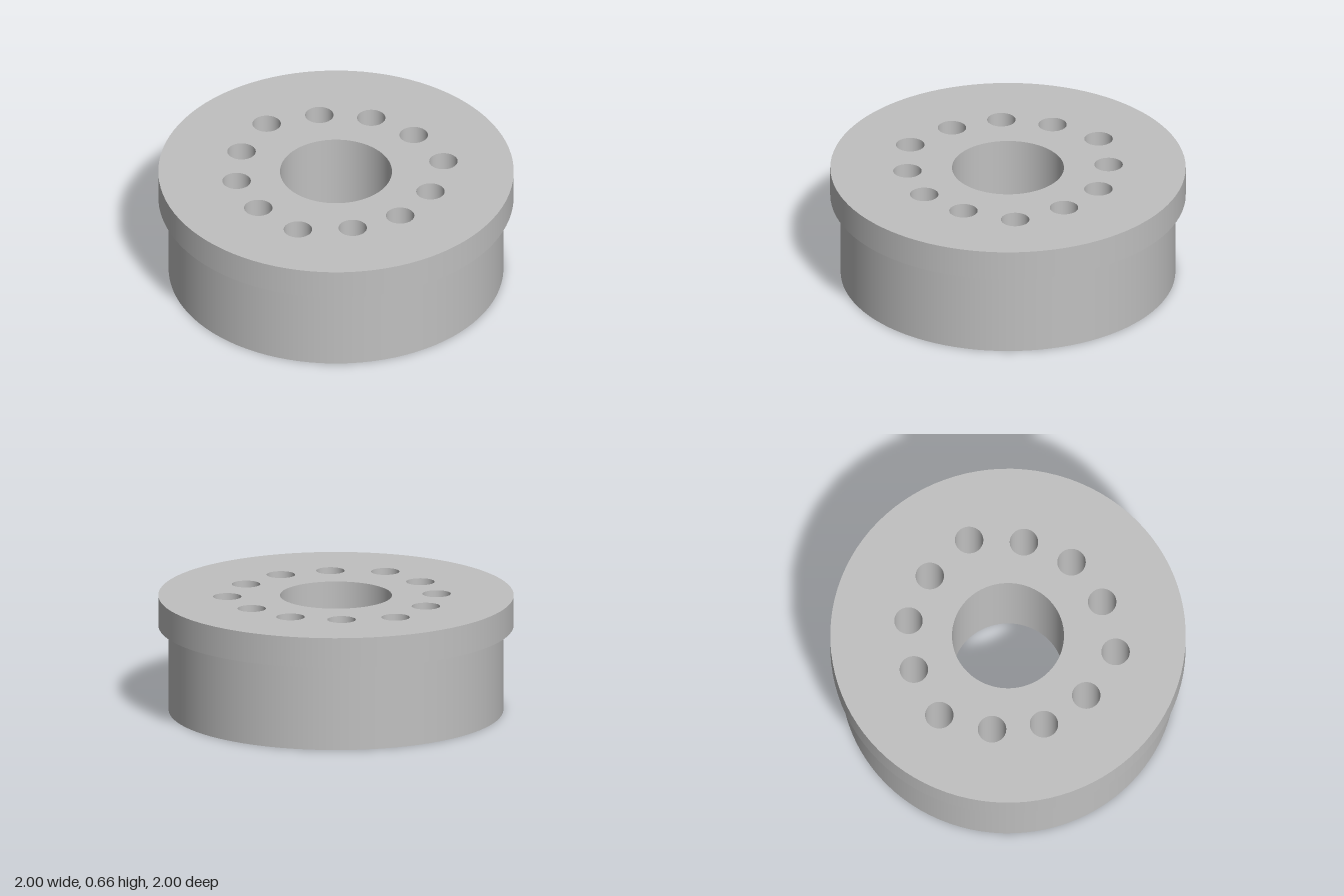
import * as THREE from 'three';

const SEGMENTS = 96;
const HEIGHT = 0.663, STEP = 0.49;
const BODY_R = 0.942, FLANGE_R = 1, BORE_R = 0.315, BOLT_R = 0.08;

// Twelve bolt holes, every fourth one set slightly further out
const boltHoles = Array.from({ length: 12 }, (_, i) => {
  const angle = (i * Math.PI) / 6;
  const r = i % 4 === 0 ? 0.613 : 0.567;
  return { x: Math.sin(angle) * r, z: Math.cos(angle) * r };
});

export function createModel() {
  const group = new THREE.Group();
  const metal = new THREE.MeshStandardMaterial({ color: 0xc0c0c0 });
  metal.name = 'grey metal';

  const add = (name, geometry) => {
    const mesh = new THREE.Mesh(geometry, metal);
    mesh.name = name;
    group.add(mesh);
    return mesh;
  };

  // Band swept round the y axis: rising faces outward, falling faces inward
  const band = (name, r0, y0, r1, y1) =>
    add(name, new THREE.LatheGeometry(
      [new THREE.Vector2(r0, y0), new THREE.Vector2(r1, y1)], SEGMENTS));

  // Flat disc pierced by the bore and bolt holes
  const face = (name, radius, y, up) => {
    const sign = up ? -1 : 1;
    const shape = new THREE.Shape().absarc(0, 0, radius, 0, Math.PI * 2, false);
    const hole = (x, z, r) => shape.holes.push(
      new THREE.Path().absarc(x, sign * z, r, 0, Math.PI * 2, true));
    hole(0, 0, BORE_R);
    boltHoles.forEach(({ x, z }) => hole(x, z, BOLT_R));
    const geometry = new THREE.ShapeGeometry(shape, SEGMENTS / 2);
    add(name, geometry.rotateX(sign * Math.PI / 2).translate(0, y, 0));
  };

  // Outer surfaces
  band('bodyWall', BODY_R, 0, BODY_R, STEP);
  band('flangeUnderside', BODY_R, STEP, FLANGE_R, STEP);
  band('flangeRim', FLANGE_R, STEP, FLANGE_R, HEIGHT);
  face('topFace', FLANGE_R, HEIGHT, true);
  face('bottomFace', BODY_R, 0, false);

  // Inner walls of the through holes
  band('boreWall', BORE_R, HEIGHT, BORE_R, 0);
  boltHoles.forEach(({ x, z }, i) => {
    band(`boltHole${i + 1}`, BOLT_R, HEIGHT, BOLT_R, 0).position.set(x, 0, z);
  });

  return group;
}
